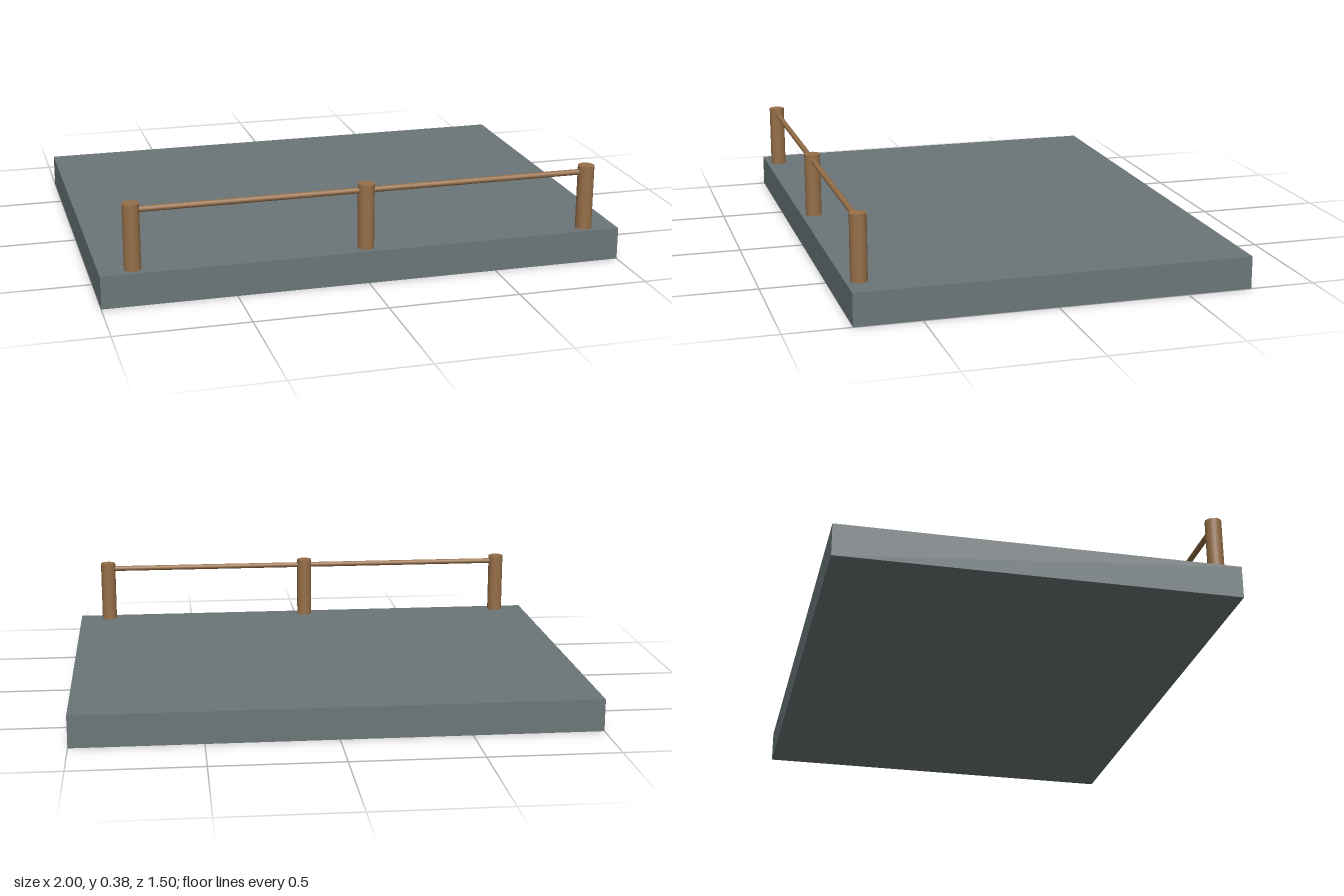
import * as THREE from 'three';

export function createModel() {
  const model = new THREE.Group();
  const stone = new THREE.MeshStandardMaterial({ color: 0x6b7678 });
  const wood = new THREE.MeshStandardMaterial({ color: 0x966f48 });

  const add = (name, geometry, material, x, y, z) => {
    const mesh = new THREE.Mesh(geometry, material);
    mesh.name = name;
    mesh.position.set(x, y, z);
    model.add(mesh);
    return mesh;
  };

  const deckHeight = 0.125, postHeight = 0.25, postSpacing = 0.875, railingZ = 0.7;

  // Flat platform slab
  add('platform', new THREE.BoxGeometry(2, deckHeight, 1.5), stone, 0, deckHeight / 2, 0);

  // Three round posts along the front edge
  const postGeometry = new THREE.CylinderGeometry(0.0315, 0.0315, postHeight, 24);
  ['rightPost', 'middlePost', 'leftPost'].forEach((name, i) =>
    add(name, postGeometry, wood, (i - 1) * postSpacing, deckHeight + postHeight / 2, railingZ));

  // Thin round rail through the posts
  const rail = add('rail', new THREE.CylinderGeometry(0.011, 0.011, postSpacing * 2, 16), wood, 0, 0.35, railingZ);
  rail.rotation.z = Math.PI / 2;

  return model;
}
